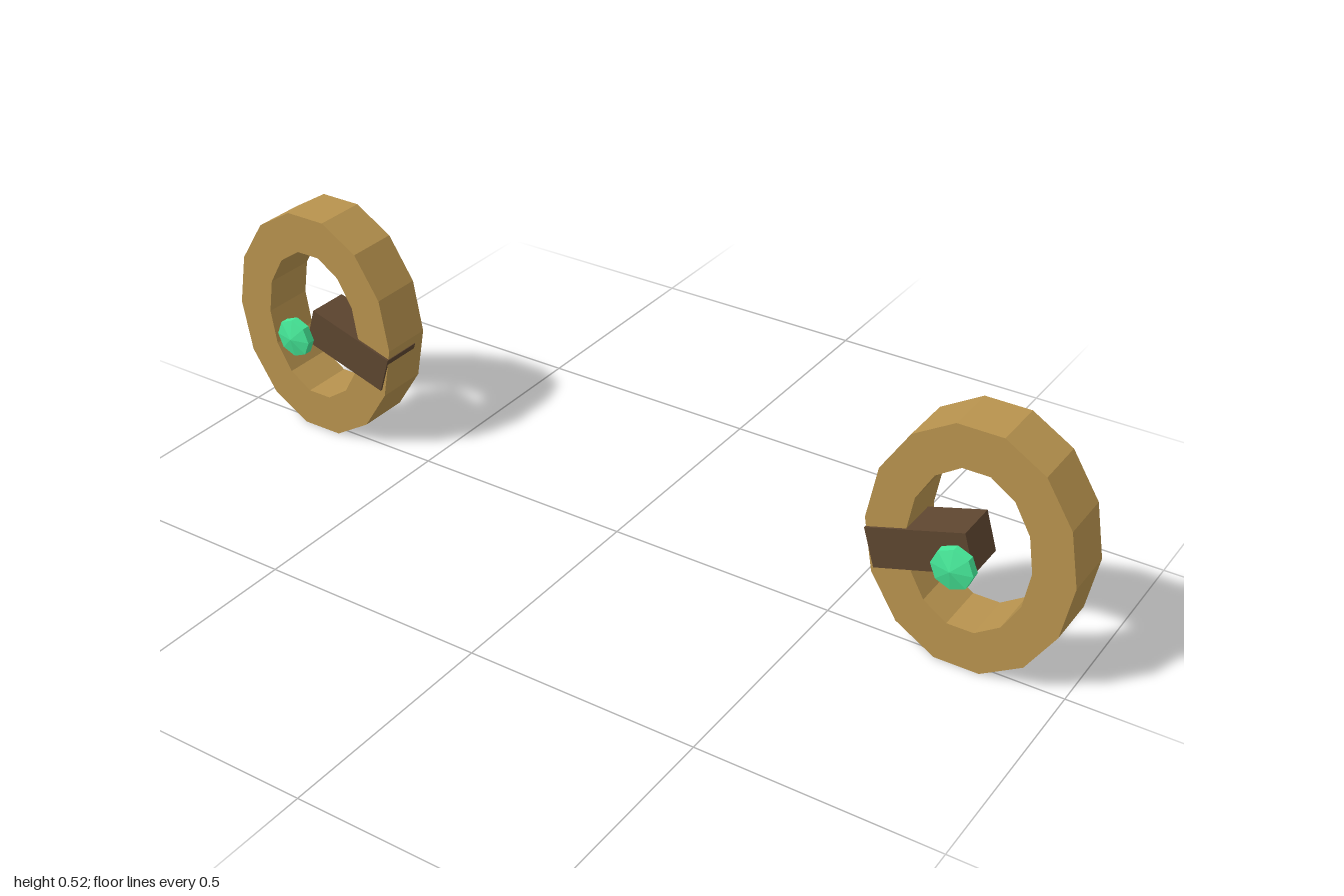
import * as THREE from 'three';

const material = (color) => new THREE.MeshStandardMaterial({ color, flatShading: true });

// Corner points of an oval with the given number of sides
function oval(rx, ry, sides) {
  return Array.from({ length: sides }, (_, i) => {
    const a = (i / sides) * Math.PI * 2;
    return new THREE.Vector2(rx * Math.cos(a), ry * Math.sin(a));
  });
}

export function createModel() {
  const model = new THREE.Group();
  model.name = 'ovalRingPair';
  const wood = material(0xb8934e);
  const darkWood = material(0x5e4630);
  const green = material(0x45e898);

  // Fourteen-sided oval ring with an oval opening
  const shape = new THREE.Shape(oval(0.2125, 0.267, 14));
  shape.holes.push(new THREE.Path(oval(0.127, 0.177, 14).reverse()));
  const ringGeometry = new THREE.ExtrudeGeometry(shape, { depth: 0.117, bevelEnabled: false });
  ringGeometry.translate(0, 0, -0.097);

  // Bar from the middle of the ring into its inner side
  const barGeometry = new THREE.BoxGeometry(0.213, 0.086, 0.095);

  // Eight-sided gem: flat back, short rim, pointed front
  const gemProfile = [[0, 0.07], [0.0435, 0.07], [0.0435, 0.088], [0, 0.098]]
    .map(([r, y]) => new THREE.Vector2(r, y));
  const gemGeometry = new THREE.LatheGeometry(gemProfile, 8);
  gemGeometry.rotateX(Math.PI / 2);

  for (const side of [-1, 1]) {
    const unit = new THREE.Group();
    unit.name = side > 0 ? 'leftUnit' : 'rightUnit';
    unit.position.set(side * 0.7875, 0.26, 0);

    const ring = new THREE.Mesh(ringGeometry, wood);
    ring.name = 'ring';

    const bar = new THREE.Mesh(barGeometry, darkWood);
    bar.name = 'bar';
    bar.position.set(-side * 0.096, -0.0305, -0.0225);
    bar.rotation.z = side * THREE.MathUtils.degToRad(17);

    const gem = new THREE.Mesh(gemGeometry, green);
    gem.name = 'gem';

    unit.add(ring, bar, gem);
    model.add(unit);
  }
  return model;
}
